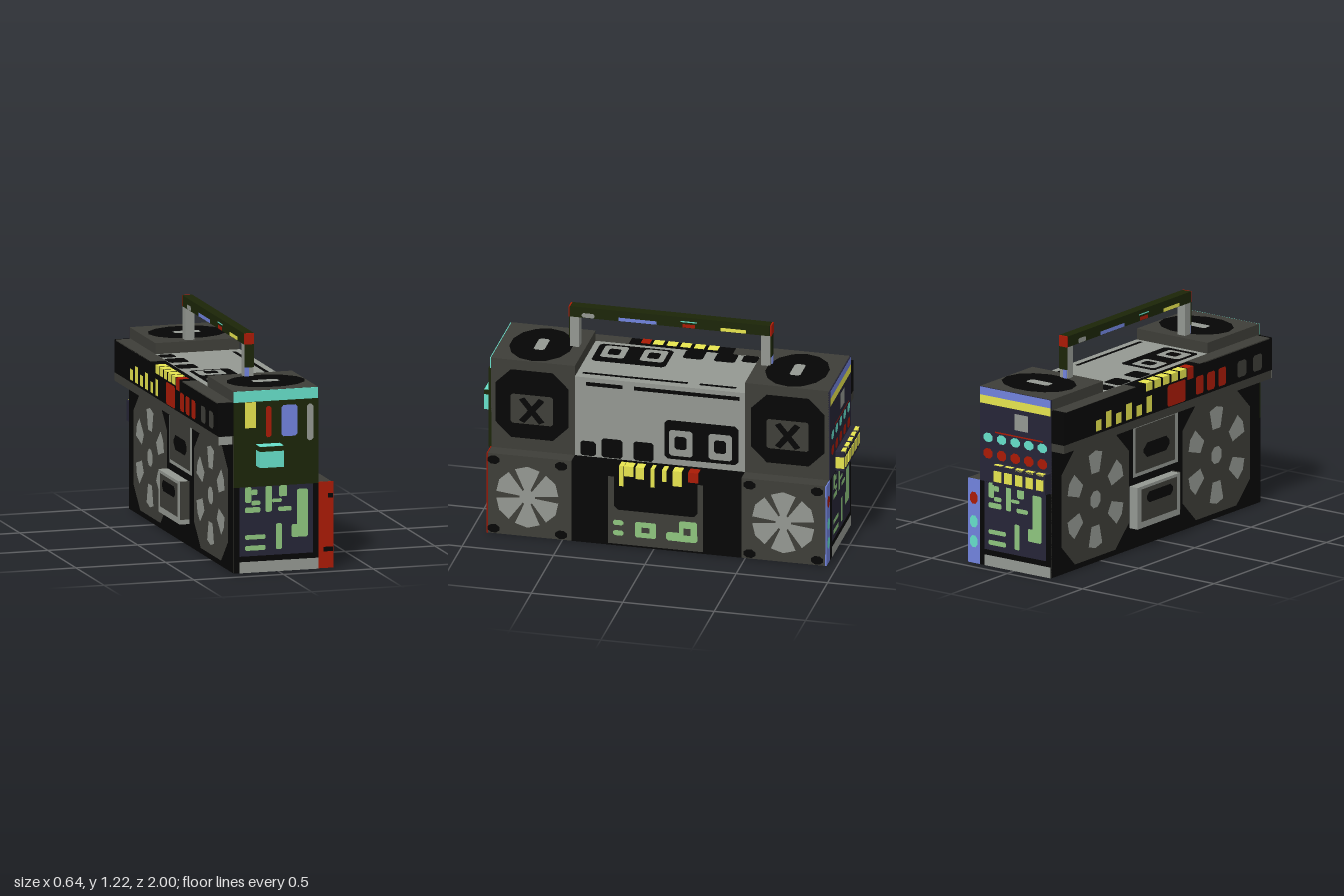
import * as THREE from 'three';

const COLORS = {
  black: 0x050505, darkGrey: 0x3e3e38, lightGrey: 0x949892, darkGreen: 0x1b2507, cyan: 0x66e0ca,
  yellow: 0xe8e64f, red: 0xaa1a05, blue: 0x7183de, green: 0x8ec67e, navy: 0x262537,
};

export function createModel() {
  const root = new THREE.Group();
  root.name = 'portableStereo';
  const M = {};
  for (const [name, hex] of Object.entries(COLORS)) {
    M[name] = new THREE.MeshStandardMaterial({ color: hex });
    M[name].name = name;
  }

  // Box given by its limits on each axis
  function box(name, mat, x0, x1, y0, y1, z0, z1) {
    const m = new THREE.Mesh(new THREE.BoxGeometry(x1 - x0, y1 - y0, z1 - z0), M[mat]);
    m.position.set((x0 + x1) / 2, (y0 + y1) / 2, (z0 + z1) / 2);
    m.name = name;
    root.add(m);
  }
  // Painted face: a group whose local X, Y, Z follow the given directions
  const V = (x, y, z) => new THREE.Vector3(x, y, z);
  function face(name, X, Y, Z, origin) {
    const g = new THREE.Group();
    g.name = name;
    g.quaternion.setFromRotationMatrix(new THREE.Matrix4().makeBasis(X, Y, Z));
    g.position.copy(origin);
    root.add(g);
    return g;
  }
  function paint(g, name, mat, shape, layer) {
    const m = new THREE.Mesh(new THREE.ShapeGeometry(shape, 4), M[mat]);
    m.position.z = 0.002 * layer;
    m.name = name;
    g.add(m);
  }
  const poly = (pts) => new THREE.Shape(pts.map(([a, b]) => new THREE.Vector2(a, b)));
  // Rectangle with clipped corners
  function rect(g, name, mat, u0, u1, v0, v1, layer = 1, c = 0) {
    paint(g, name, mat, poly(c
      ? [[u0 + c, v0], [u1 - c, v0], [u1, v0 + c], [u1, v1 - c], [u1 - c, v1], [u0 + c, v1], [u0, v1 - c], [u0, v0 + c]]
      : [[u0, v0], [u1, v0], [u1, v1], [u0, v1]]), layer);
  }
  function disc(g, name, mat, u, v, ru, rv, layer = 1, n = 16) {
    const pts = [];
    for (let i = 0; i < n; i++) {
      const a = (i + 0.5) / n * Math.PI * 2;
      pts.push([u + ru * Math.cos(a), v + rv * Math.sin(a)]);
    }
    paint(g, name, mat, poly(pts), layer);
  }
  // Ring of wedge blades
  function blades(g, u, v, r0, r1, n, fill, layer) {
    for (let i = 0; i < n; i++) {
      const a = (i + 0.5) / n * Math.PI * 2, w = fill * Math.PI / n;
      const p = (r, t) => [u + r * Math.cos(t), v + r * Math.sin(t)];
      paint(g, 'speakerBlade', 'lightGrey', poly([p(r0, a - w), p(r1 * 0.96, a - w), p(r1, a), p(r1 * 0.96, a + w), p(r0, a + w)]), layer);
    }
  }

  // Cabinet
  for (const [z0, z1] of [[0.45, 0.91], [-0.94, -0.48]]) {
    box('upperSpeakerBox', 'darkGrey', -0.25, 0.22, 0.465, 0.985, z0, z1);
    box('lowerSpeakerBox', 'darkGrey', -0.25, 0.3, 0, 0.465, z0, z1);
  }
  box('cassetteBody', 'lightGrey', -0.25, 0.22, 0.465, 0.925, -0.48, 0.45);
  box('lowerBody', 'black', -0.25, 0.3, 0, 0.465, -0.48, 0.45);

  // Handle
  box('handleBar', 'darkGreen', -0.075, -0.02, 1.16, 1.22, -0.558, 0.538);
  for (const [z, s] of [[0.51, 1], [-0.535, -1]]) {
    box('handleLeg', 'lightGrey', -0.073, -0.022, 0.98, 1.16, z - 0.025, z + 0.025);
    box('handleLegPlate', 'darkGreen', -0.073, -0.022, 1.035, 1.16, z + s * 0.0285 - 0.003, z + s * 0.0285 + 0.003);
    box('handleLegFoot', 'blue', -0.071, -0.048, 0.985, 1.035, z + s * 0.0285 - 0.003, z + s * 0.0285 + 0.003);
    box('handleEnd', 'red', -0.075, -0.02, 1.16, 1.22, z + s * 0.028 - 0.004, z + s * 0.028 + 0.004);
  }
  for (const s of [1, -1]) {
    const g = face('handlePaint', V(0, 0, -s), V(0, 1, 0), V(s, 0, 0), V(s > 0 ? -0.02 : -0.075, 0, 0));
    rect(g, 'handleMark', 'lightGrey', -0.47, -0.4, 1.162, 1.188, 1, 0.008);
    rect(g, 'handleMark', 'blue', -0.27, -0.06, 1.162, 1.182);
    rect(g, 'handleMark', 'red', 0.08, 0.15, 1.162, 1.182);
    rect(g, 'handleMark', 'yellow', 0.29, 0.43, 1.162, 1.182);
    rect(g, 'handleMark', 'cyan', 0.07, 0.16, 1.192, 1.199);
  }

  // Cassette panel, used on the +x side and on the top
  const side = face('sideFace', V(0, 0, -1), V(0, 1, 0), V(1, 0, 0), V(0.22, 0, 0));
  const top = face('topFace', V(0, 0, 1), V(1, 0, 0), V(0, 1, 0), V(-0.72, 0.925, -0.03));
  for (const g of [side, top]) {
    rect(g, 'slot', 'black', -0.39, -0.19, 0.878, 0.9);
    rect(g, 'slot', 'black', -0.125, 0.45, 0.878, 0.9);
    for (const [a, b, h] of [[-0.42, -0.335, 0.555], [-0.305, -0.19, 0.58], [-0.13, -0.02, 0.58]])
      rect(g, 'pianoKey', 'black', a, b, 0.47, h, 1, 0.012);
    rect(g, 'cassetteDoor', 'black', 0.04, 0.445, 0.5, 0.725, 1, 0.018);
    for (const u of [0.127, 0.343]) {
      rect(g, 'reelFrame', 'lightGrey', u - 0.062, u + 0.068, 0.52, 0.67, 2, 0.012);
      rect(g, 'reelHole', 'black', u - 0.03, u + 0.035, 0.56, 0.635, 3, 0.01);
    }
  }

  // Upper speakers on the side, oval grilles on the top
  const lid = face('speakerTops', V(0, 0, 1), V(1, 0, 0), V(0, 1, 0), V(0, 0.985, 0));
  for (const u of [-0.685, 0.715]) {
    rect(side, 'upperSpeaker', 'black', u - 0.2, u + 0.2, 0.535, 0.93, 1, 0.085);
    rect(side, 'upperSpeakerCone', 'darkGrey', u - 0.115, u + 0.115, 0.62, 0.79, 2, 0.01);
    for (const s of [1, -1])
      paint(side, 'coneCross', 'black', poly([[u - 0.07, 0.7 - s * 0.06], [u - 0.04, 0.7 - s * 0.075], [u + 0.07, 0.7 + s * 0.06], [u + 0.04, 0.7 + s * 0.075]].slice(0, 4)), 3);
    disc(lid, 'topGrille', 'black', -u, 0, 0.17, 0.215, 1, 14);
    rect(lid, 'topGrillePill', 'lightGrey', -u - 0.03, -u + 0.03, -0.075, 0.07, 2, 0.012);
  }

  // Lower side: fans, controls and display
  const low = face('lowerSide', V(0, 0, -1), V(0, 1, 0), V(1, 0, 0), V(0.3, 0, 0));
  rect(low, 'lowerBlackPanel', 'black', -0.45, 0.48, 0, 0.465, 0.5);
  for (const u of [-0.69, 0.71]) {
    rect(low, 'fanPlate', 'darkGrey', u - 0.22, u + 0.23, 0.01, 0.46, 1, 0.06);
    disc(low, 'fanHub', 'lightGrey', u, 0.23, 0.045, 0.045, 2, 8);
    blades(low, u, 0.23, 0.035, 0.178, 6, 0.78, 2);
    for (const a of [-1, 1]) for (const v of [0.03, 0.43])
      disc(low, 'cornerScrew', 'black', u + a * 0.185, v, 0.035, 0.026, 2, 8);
  }
  rect(low, 'controlPlate', 'darkGrey', -0.25, 0.27, 0.01, 0.4, 1);
  rect(low, 'controlWell', 'black', -0.215, 0.24, 0.21, 0.465, 2, 0.02);
  for (const v of [0.06, 0.12]) rect(low, 'displayMark', 'green', -0.22, -0.165, v, v + 0.03, 2, 0.008);
  rect(low, 'displayRing', 'green', -0.1, 0.015, 0.06, 0.15, 2, 0.008);
  rect(low, 'displayRingHole', 'darkGrey', -0.065, -0.02, 0.09, 0.12, 3);
  rect(low, 'displayHook', 'green', 0.07, 0.24, 0.06, 0.11, 2, 0.01);
  rect(low, 'displayHook', 'green', 0.14, 0.24, 0.06, 0.18, 3, 0.01);
  rect(low, 'displayHookHole', 'darkGrey', 0.165, 0.205, 0.1, 0.14, 4);
  for (const [z, w, y] of [[0.175, 0.025, 0.35], [0.135, 0.05, 0.41], [0.075, 0.045, 0.4], [0.005, 0.02, 0.36], [-0.06, 0.025, 0.4], [-0.13, 0.05, 0.38]])
    box('controlKey', 'yellow', 0.25, 0.3055, y, 0.468, z - w / 2, z + w / 2);
  box('recordKey', 'red', 0.25, 0.3055, 0.41, 0.468, -0.245, -0.19);

  // End panels
  box('frontEndUpper', 'darkGreen', -0.25, 0.22, 0.465, 0.925, 0.905, 0.922);
  box('frontEndStripe', 'cyan', -0.25, 0.22, 0.925, 0.984, 0.905, 0.915);
  box('frontEndLower', 'black', -0.25, 0.22, 0, 0.465, 0.905, 0.918);
  box('frontEdge', 'red', 0.22, 0.3055, 0, 0.468, 0.907, 0.912);
  box('rearEndUpper', 'navy', -0.25, 0.22, 0.465, 0.984, -0.946, -0.935);
  box('rearEndLower', 'black', -0.25, 0.22, 0, 0.465, -0.946, -0.935);
  box('rearEdge', 'blue', 0.22, 0.3005, 0, 0.464, -0.946, -0.938);
  const front = face('frontFace', V(1, 0, 0), V(0, 1, 0), V(0, 0, 1), V(0, 0, 0.922));
  const frontLow = face('frontLowFace', V(1, 0, 0), V(0, 1, 0), V(0, 0, 1), V(-0.015, 0, 0.918));
  const rear = face('rearFace', V(-1, 0, 0), V(0, 1, 0), V(0, 0, -1), V(0, 0, -0.946));
  const rearLow = face('rearLowFace', V(-1, 0, 0), V(0, 1, 0), V(0, 0, -1), V(-0.015, 0, -0.946));
  rect(front, 'frontMark', 'yellow', -0.19, -0.13, 0.785, 0.925);
  rect(front, 'frontMark', 'red', -0.075, -0.043, 0.73, 0.9, 1, 0.01);
  rect(front, 'frontMark', 'blue', 0.012, 0.102, 0.73, 0.9, 1, 0.012);
  rect(front, 'frontMark', 'lightGrey', 0.155, 0.19, 0.7, 0.9, 1, 0.012);
  rect(front, 'edgeSpot', 'black', 0.275, 0.304, 0.38, 0.405, -4);
  rect(front, 'edgeSpot', 'black', 0.25, 0.304, 0.09, 0.115, -4);
  // Front knob with a dark upper rim
  box('frontKnob', 'cyan', -0.13, 0.003, 0.58, 0.696, 0.92, 0.9985);
  box('frontKnobRim', 'darkGreen', -0.132, 0.005, 0.668, 0.6945, 0.92, 1);
  rect(front, 'frontKnobMark', 'cyan', 0.003, 0.015, 0.585, 0.665);
  // Circuit bars on both ends: u0, u1, v0, v1
  const bars = [
    [-0.175, -0.14, 0.38, 0.465], [-0.14, -0.09, 0.365, 0.39], [-0.14, -0.105, 0.42, 0.45], [-0.175, -0.09, 0.325, 0.355],
    [-0.06, -0.025, 0.325, 0.465], [0.015, 0.06, 0.405, 0.465], [0.01, 0.085, 0.325, 0.35], [-0.025, 0.03, 0.375, 0.395],
    [0.115, 0.175, 0.18, 0.44], [0.085, 0.175, 0.18, 0.25], [-0.175, -0.06, 0.18, 0.205], [-0.175, -0.06, 0.12, 0.147], [-0.003, 0.03, 0.12, 0.26],
  ];
  for (const g of [frontLow, rearLow]) {
    rect(g, 'endPanel', 'navy', -0.205, 0.205, 0.09, 0.465);
    rect(g, 'endSkirt', 'lightGrey', -0.205, 0.235, 0, 0.06);
    for (const b of bars) rect(g, 'circuitBar', 'green', ...b, 2, 0.006);
  }
  // Rear end stripes and lamps
  rect(rear, 'rearStripe', 'blue', -0.22, 0.25, 0.94, 0.984);
  rect(rear, 'rearStripe', 'yellow', -0.22, 0.25, 0.895, 0.94);
  rect(rear, 'rearWindow', 'lightGrey', 0.01, 0.1, 0.78, 0.87);
  rect(rear, 'rearLine', 'red', -0.12, 0.2, 0.742, 0.75);
  for (let i = 0; i < 5; i++) {
    disc(rear, 'cyanLamp', 'cyan', -0.165 + i * 0.09, 0.71, 0.033, 0.027, 1, 8);
    disc(rear, 'redLamp', 'red', -0.165 + i * 0.09, 0.622, 0.033, 0.03, 1, 8);
  }
  for (const [v, c] of [[0.36, 'red'], [0.23, 'cyan'], [0.12, 'cyan']]) disc(rear, 'edgeLamp', c, -0.26, v, 0.028, 0.035, 1, 8);
  // Key shelf
  box('keyShelf', 'navy', -0.25, 0.1, 0.47, 0.58, -0.997, -0.94);
  box('shelfSideMark', 'yellow', 0.09, 0.102, 0.485, 0.55, -0.995, -0.945);
  for (let i = 0; i < 5; i++) {
    const x = 0.065 - i * 0.07;
    box('shelfKey', 'yellow', x - 0.024, x + 0.024, 0.49, 0.55, -1, -0.99);
    box('shelfTopKey', 'yellow', x - 0.024, x + 0.024, 0.57, 0.583, -0.997, -0.975);
  }

  // Back: large speakers and cassette bay
  const back = face('backFace', V(0, 0, 1), V(0, 1, 0), V(-1, 0, 0), V(-0.25, 0, 0));
  rect(back, 'backPanel', 'black', -0.94, 0.91, 0, 0.71);
  for (const u of [-0.557, 0.52]) {
    rect(back, 'backSpeaker', 'darkGrey', u - 0.3, u + 0.3, 0.03, 0.67, 2, 0.12);
    blades(back, u, 0.35, 0.15, 0.27, 6, 0.45, 3);
    disc(back, 'backSpeakerHub', 'lightGrey', u, 0.35, 0.05, 0.05, 3, 8);
  }
  rect(back, 'bayFrame', 'lightGrey', -0.22, 0.18, 0.39, 0.68, 2);
  rect(back, 'bayWindow', 'darkGrey', -0.2, 0.15, 0.41, 0.66, 3);
  rect(back, 'baySlot', 'black', -0.13, 0.1, 0.48, 0.56, 4, 0.03);
  box('bayDoor', 'lightGrey', -0.306, -0.25, 0.12, 0.35, -0.25, 0.13);
  box('bayDoorCap', 'darkGrey', -0.304, -0.25, 0.146, 0.352, 0.125, 0.135);
  rect(back, 'bayDoorWindow', 'darkGrey', -0.215, 0.1, 0.155, 0.335, 29);
  rect(back, 'bayDoorSlot', 'black', -0.17, 0.06, 0.25, 0.31, 30, 0.02);

  // Tuner box along the back
  box('tuner', 'black', -0.333, -0.25, 0.745, 0.924, -0.94, 0.91);
  box('tunerBase', 'darkGrey', -0.333, -0.25, 0.7, 0.745, -0.94, 0.91);
  box('tunerFoot', 'lightGrey', -0.333, -0.26, 0.7, 0.744, 0.907, 0.912);
  for (const z of [-0.61, 0.58]) box('tunerTop', 'darkGrey', -0.333, -0.25, 0.92, 0.926, z - 0.31, z + 0.31);
  for (let i = 0; i < 5; i++)
    box('tunerKey', 'yellow', -0.335, -0.28, 0.88, 0.926, -0.21 + i * 0.075, -0.155 + i * 0.075);
  box('tunerRedKey', 'red', -0.335, -0.28, 0.86, 0.926, 0.16, 0.21);
  const dial = face('tunerFace', V(0, 0, 1), V(0, 1, 0), V(-1, 0, 0), V(-0.333, 0, 0));
  for (let i = 0; i < 6; i++) rect(dial, 'tunerMark', 'yellow', -0.66 + i * 0.09, -0.61 + i * 0.09, 0.76, 0.82 + (i % 2) * 0.03);
  rect(dial, 'tunerPlate', 'red', -0.02, 0.14, 0.75, 0.87, 1, 0.01);
  for (const u of [0.23, 0.33, 0.43]) rect(dial, 'tunerMark', 'red', u, u + 0.07, 0.76, 0.86, 1, 0.01);
  for (const u of [0.6, 0.74]) rect(dial, 'tunerMark', 'darkGrey', u, u + 0.08, 0.77, 0.86, 1, 0.012);

  // Underside with vents and studs
  const under = face('underside', V(0, 0, 1), V(-1, 0, 0), V(0, -1, 0), V(0, 0.001, 0));
  rect(under, 'basePlate', 'lightGrey', -0.94, 0.91, -0.3, 0.25, 0.5);
  rect(under, 'baseStrip', 'darkGrey', -0.94, 0.91, -0.3, -0.14, 1);
  for (let i = 0; i < 7; i++) {
    const u = -0.81 + i * 0.265;
    rect(under, 'baseVent', 'navy', u - 0.065, u + 0.065, -0.08, 0.14, 2, 0.025);
    disc(under, 'baseStud', 'yellow', u + 0.06, -0.19, 0.035, 0.025, 2, 8);
  }
  return root;
}
